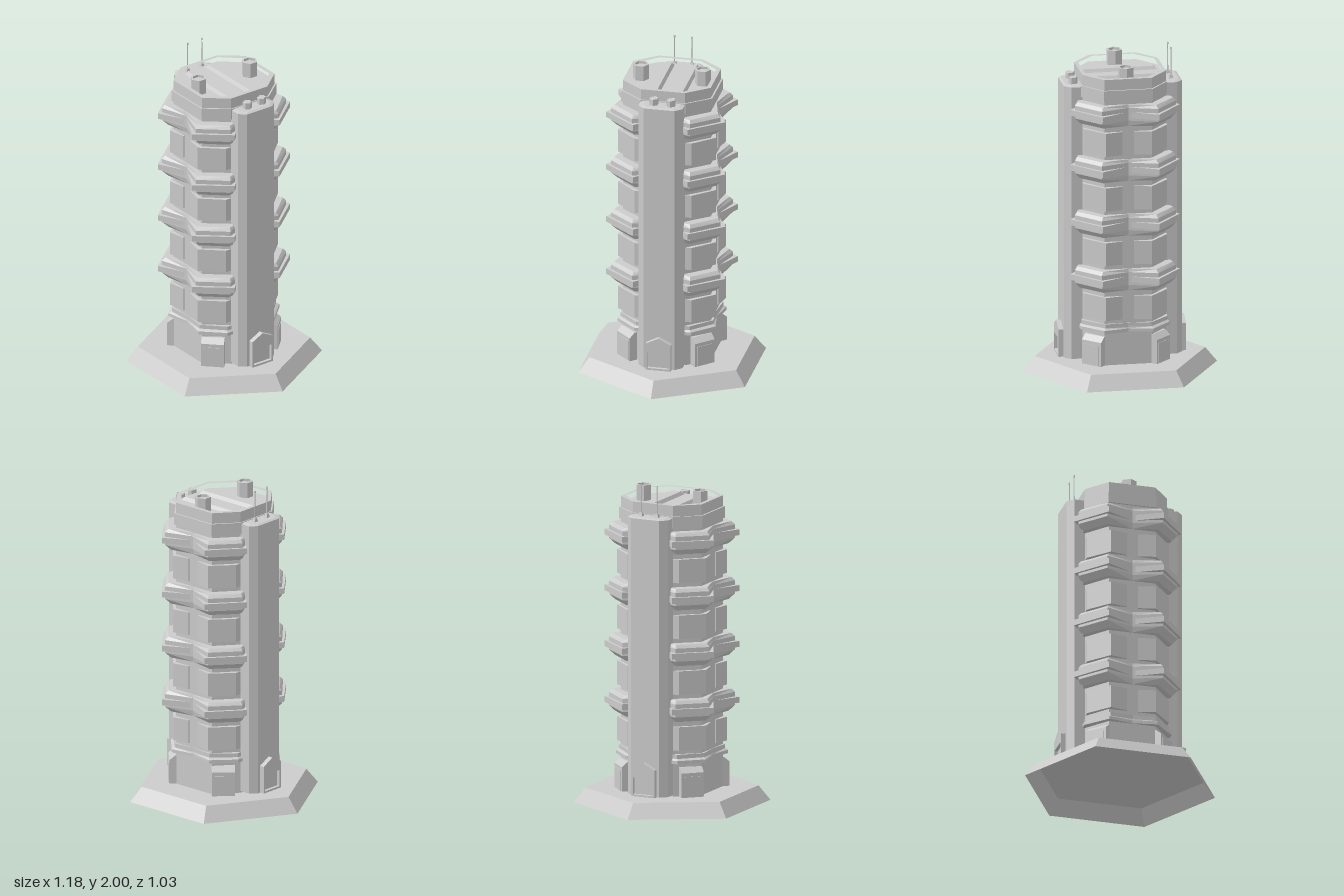
import * as THREE from 'three';

const mat = new THREE.MeshStandardMaterial({ color: 0xcccccc, flatShading: true });
const thin = new THREE.MeshStandardMaterial({ color: 0xcccccc, flatShading: true, side: THREE.DoubleSide });

// Closed solid through convex plan outlines: layers = [[y, [[x, z], ...]], ...]
function loft(layers) {
  const n = layers[0][1].length, pos = [];
  const plan = layers[0][1];
  let area = 0;
  plan.forEach(([x, z], i) => {
    const [x2, z2] = plan[(i + 1) % n];
    area += x * z2 - x2 * z;
  });
  const tri = (a, b, c) => (area > 0 ? pos.push(...a, ...c, ...b) : pos.push(...a, ...b, ...c));
  const at = (l, i) => [layers[l][1][i % n][0], layers[l][0], layers[l][1][i % n][1]];
  const last = layers.length - 1;
  for (let l = 0; l < last; l++) {
    for (let i = 0; i < n; i++) {
      tri(at(l, i), at(l, i + 1), at(l + 1, i + 1));
      tri(at(l, i), at(l + 1, i + 1), at(l + 1, i));
    }
  }
  for (let i = 1; i < n - 1; i++) {
    tri(at(0, 0), at(0, i + 1), at(0, i));
    tri(at(last, 0), at(last, i), at(last, i + 1));
  }
  const g = new THREE.BufferGeometry();
  g.setAttribute('position', new THREE.Float32BufferAttribute(pos, 3));
  g.computeVertexNormals();
  return g;
}

// Octagon with half sizes hx, hz and corners starting at cx, cz
const oct = (hx, hz, cx, cz) => [
  [cx, hz], [hx, cz], [hx, -cz], [cx, -hz], [-cx, -hz], [-hx, -cz], [-hx, cz], [-cx, hz],
];
const rect = (x, z, hx, hz) => [[x - hx, z - hz], [x + hx, z - hz], [x + hx, z + hz], [x - hx, z + hz]];
const mirror = (pts, sx, sz) => pts.map(([x, z]) => [x * sx, z * sz]);
const toShape = (pts) => new THREE.Shape(pts.map(([x, y]) => new THREE.Vector2(x, y)));

export function createModel() {
  const model = new THREE.Group();
  const add = (name, geometry, x = 0, y = 0, z = 0, material = mat) => {
    const m = new THREE.Mesh(geometry, material);
    m.name = name;
    m.position.set(x, y, z);
    model.add(m);
    return m;
  };

  // Hollow hexagonal plinth
  add('plinthSides', new THREE.CylinderGeometry(0.52, 0.592, 0.09, 6, 1, true).rotateY(Math.PI / 6), 0, 0.045, 0, thin);
  add('plinthTop', new THREE.CircleGeometry(0.52, 6).rotateX(-Math.PI / 2), 0, 0.09, 0, thin);

  // Core and roof
  const coreOuter = oct(0.255, 0.27, 0.145, 0.135);
  add('core', loft([[0.09, coreOuter], [1.835, coreOuter]]));
  const skirt = oct(0.262, 0.28, 0.15, 0.14);
  add('roofSkirt', loft([[1.74, skirt], [1.81, skirt]]));
  const parapet = toShape(coreOuter);
  parapet.holes.push(toShape(oct(0.232, 0.245, 0.125, 0.125)));
  add('parapet', new THREE.ExtrudeGeometry(parapet, { depth: 0.05, bevelEnabled: false }).rotateX(-Math.PI / 2), 0, 1.827, 0);
  for (const s of [1, -1]) {
    add('roofRidge', loft([[1.833, rect(0, s * 0.078, 0.232, 0.045)], [1.855, rect(0, s * 0.078, 0.218, 0.03)]]));
    // Chimney with a sunken mouth
    const profile = [[0, 0], [0.049, 0], [0.049, 0.1], [0.038, 0.1], [0.038, 0.085], [0, 0.085]];
    add('chimney', new THREE.LatheGeometry(profile.map(([x, y]) => new THREE.Vector2(x, y)), 6), 0, 1.83, s * 0.19);
  }

  // Quarter plans, repeated in all four corners
  const panel = [[0.035, 0.2], [0.035, 0.278], [0.14, 0.3], [0.255, 0.175], [0.255, 0.12], [0.2, 0.12]];
  const trim = [[0, 0.2], [0, 0.275], [0.15, 0.302], [0.272, 0.175], [0.272, 0.12], [0.2, 0.12]];
  const trimTop = [[0, 0.2], [0, 0.272], [0.14, 0.285], [0.26, 0.165], [0.26, 0.12], [0.2, 0.12]];
  const pod = [[0, 0.2], [0, 0.28], [0.172, 0.337], [0.308, 0.178], [0.288, 0.125], [0.2, 0.12]];
  const podEnd = [[0, 0.2], [0, 0.272], [0.155, 0.303], [0.275, 0.168], [0.268, 0.125], [0.2, 0.12]];
  const podTop = [[0, 0.2], [0, 0.275], [0.163, 0.318], [0.292, 0.173], [0.278, 0.125], [0.2, 0.12]];
  const ledge = [[0.01, 0.2], [0.01, 0.282], [0.172, 0.367], [0.334, 0.168], [0.29, 0.12], [0.2, 0.12]];

  for (const sx of [1, -1]) {
    for (const sz of [1, -1]) {
      const solid = (name, ...layers) => add(name, loft(layers.map(([y, p]) => [y, mirror(p, sx, sz)])));
      for (let i = 0; i < 4; i++) {
        const y = 0.625 + i * 0.343;
        solid('balconyPod', [y - 0.07, podEnd], [y - 0.035, pod], [y + 0.045, pod], [y + 0.065, podTop]);
        solid('balconyLedge', [y - 0.018, ledge], [y + 0.018, ledge]);
        solid('wallPanel', [y - 0.25, panel], [y - 0.105, panel]);
      }
      solid('lowerTrim', [0.295, trim], [0.315, trim], [0.325, trimTop], [0.35, trimTop]);

      // Corner entrance with a sloping hood
      const porch = new THREE.Group();
      porch.name = 'cornerEntrance';
      const side = toShape([[-0.1, 0.09], [0.02, 0.09], [0.02, 0.24], [-0.015, 0.27], [-0.1, 0.27]]);
      const body = new THREE.Mesh(
        new THREE.ExtrudeGeometry(side, { depth: 0.14, bevelEnabled: false }).rotateY(-Math.PI / 2).translate(0.07, 0, 0), mat);
      const door = new THREE.Mesh(new THREE.BoxGeometry(0.11, 0.125, 0.006), mat);
      door.position.set(0, 0.155, 0.02);
      porch.add(body, door);
      porch.position.set(sx * 0.206, 0, sz * 0.236);
      porch.rotation.y = Math.atan2(sx, sz);
      model.add(porch);
    }

    // Side tower with a bevelled cap
    const wing = [[0.24, -0.135], [0.322, -0.135], [0.36, -0.095], [0.36, 0.095], [0.322, 0.135], [0.24, 0.135]];
    const cap = [[0.25, -0.11], [0.315, -0.11], [0.345, -0.08], [0.345, 0.08], [0.315, 0.11], [0.25, 0.11]];
    const wingPlan = mirror(wing, sx, 1);
    add('sideTower', loft([[0.1, wingPlan], [1.8, wingPlan], [1.806, mirror(cap, sx, 1)]]));

    // Gabled side door frame and recessed door
    const frame = toShape([[-0.077, 0.1], [0.077, 0.1], [0.077, 0.27], [0, 0.31], [-0.077, 0.27]]);
    frame.holes.push(toShape([[-0.065, 0.112], [-0.065, 0.215], [0.065, 0.215], [0.065, 0.112]]));
    const gate = add('sideDoorFrame', new THREE.ExtrudeGeometry(frame, { depth: 0.035, bevelEnabled: false }), sx * 0.355);
    gate.rotation.y = sx * Math.PI / 2;
    add('sideDoor', new THREE.BoxGeometry(0.02, 0.11, 0.135), sx * 0.36, 0.163, 0);
  }

  // Vents on one side tower, aerials on the other
  for (const z of [0.053, -0.053]) {
    const zv = z - 0.007;
    add('vent', new THREE.CylinderGeometry(0.028, 0.028, 0.045, 6).rotateY(Math.PI / 6), 0.297, 1.823, zv);
    add('ventRim', new THREE.TorusGeometry(0.023, 0.005, 4, 6).rotateX(Math.PI / 2), 0.297, 1.843, zv);
    const za = z - 0.003;
    add('aerialFoot', new THREE.CylinderGeometry(0.011, 0.02, 0.024, 4).rotateY(Math.PI / 4), -0.3, 1.816, za);
    add('aerial', new THREE.CylinderGeometry(0.003, 0.004, 0.18, 6), -0.3, 1.91, za);
    add('aerialTip', new THREE.CylinderGeometry(0.005, 0.005, 0.014, 6), -0.3, 1.993, za);
  }
  return model;
}
